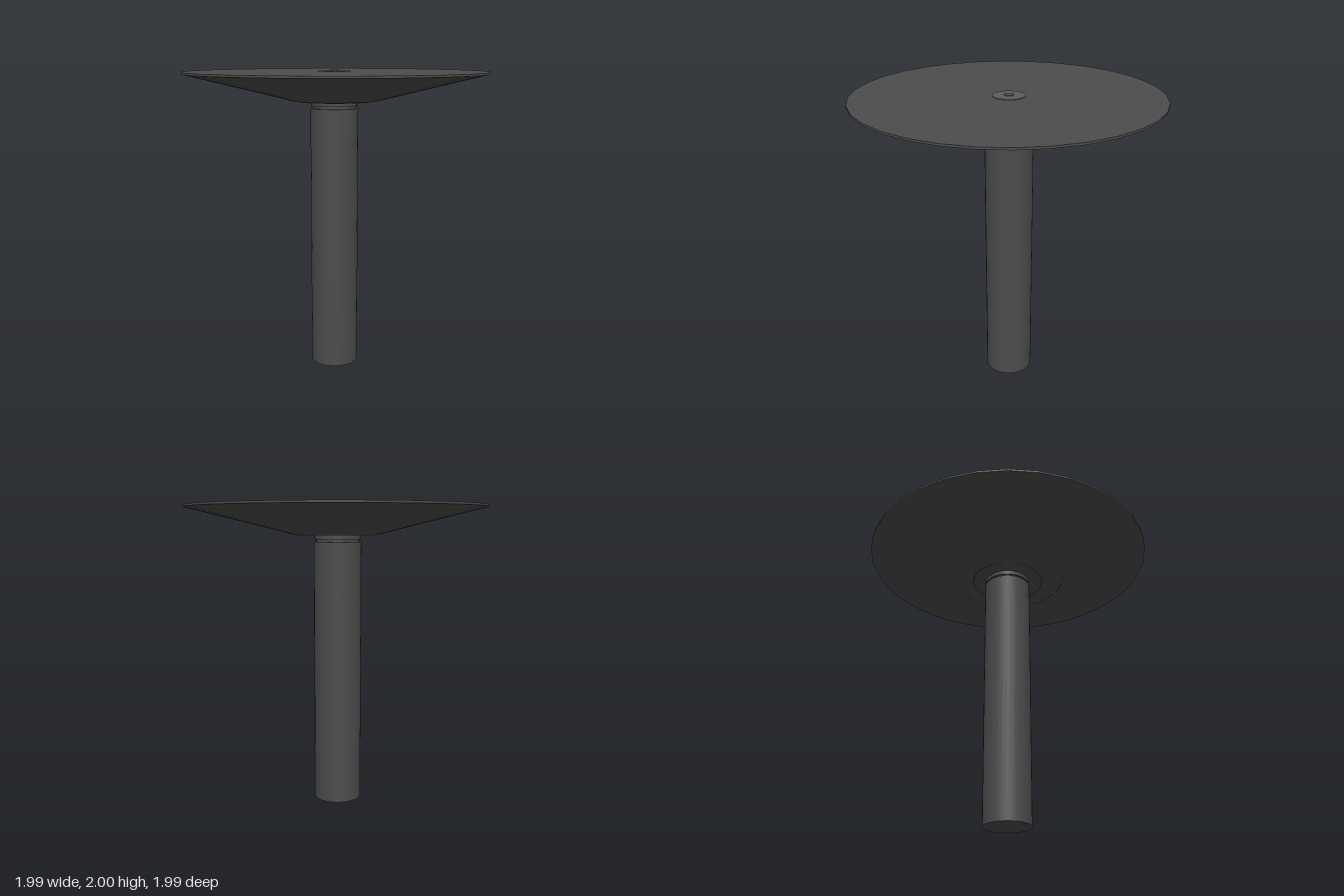
import * as THREE from 'three';

const SIDES = 32;
const AXIS_X = -0.012; // the column and fittings sit slightly off the tabletop centre

export function createModel() {
  const group = new THREE.Group();
  const dark = new THREE.MeshStandardMaterial({ color: 0x4c4c4c });
  const faceted = new THREE.MeshStandardMaterial({ color: 0x4c4c4c, flatShading: true });
  const light = new THREE.MeshStandardMaterial({ color: 0x5c5c5c });

  // Upright round part between two heights
  function round(name, rBottom, rTop, y0, y1, x = AXIS_X, material = dark, open = false) {
    const geometry = new THREE.CylinderGeometry(rTop, rBottom, y1 - y0, SIDES, 1, open);
    const mesh = new THREE.Mesh(geometry, material);
    mesh.name = name;
    mesh.position.set(x, (y0 + y1) / 2, 0);
    group.add(mesh);
  }

  // Column with a recessed neck and collar
  round('column', 0.158, 0.158, 0, 1.752);
  round('neck', 0.142, 0.142, 1.752, 1.768);
  round('collar', 0.153, 0.153, 1.768, 1.795);
  round('mountingPlate', 0.247, 0.247, 1.795, 1.806, -0.008);

  // Shallow conical underside
  round('hub', 0.29, 0.4, 1.802, 1.83, -0.003, faceted);
  round('underside', 0.4, 0.99, 1.83, 1.976, -0.002, faceted, true);

  // Thin tabletop
  round('tabletop', 0.995, 0.995, 1.976, 1.99, 0, faceted);

  // Centre fitting on top
  round('washer', 0.107, 0.107, 1.988, 1.994, AXIS_X, light);
  round('bolt', 0.03, 0.03, 1.99, 2, AXIS_X, light);

  return group;
}
